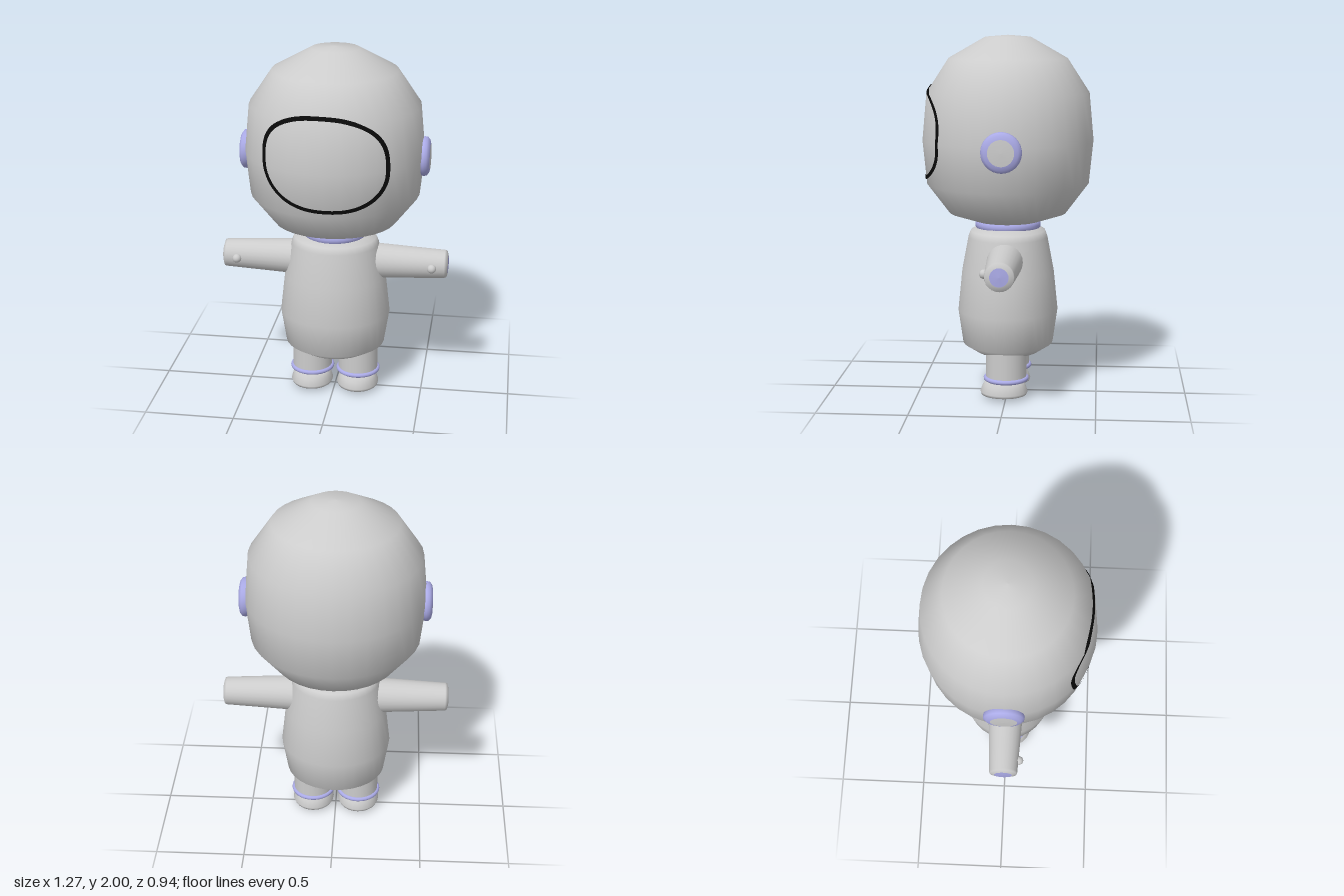
import * as THREE from 'three';

const mat = (name, color) => new THREE.MeshStandardMaterial({ name, color });

export function createModel() {
  const grey = mat('suit grey', 0xcccccc);
  const lavender = mat('lavender trim', 0xb0b0ee);
  const black = mat('visor outline black', 0x0a0a0a);
  black.side = THREE.DoubleSide;
  const model = new THREE.Group();

  const add = (parent, name, geometry, material) => {
    const mesh = new THREE.Mesh(geometry, material);
    mesh.name = name;
    parent.add(mesh);
    return mesh;
  };
  // Profiles are [radius, height], listed from the bottom up
  const lathe = (profile, segments = 32) =>
    new THREE.LatheGeometry(profile.map(([r, y]) => new THREE.Vector2(r, y)), segments);
  // Lathe turned so its axis runs along +x or -x
  const sideways = (profile, side, segments) => lathe(profile, segments).rotateZ(-side * Math.PI / 2);

  // Head
  const headDepth = 0.96;
  const headProfile = [[0, 0.975], [0.19, 0.982], [0.34, 1.03], [0.465, 1.19], [0.49, 1.43],
    [0.465, 1.69], [0.34, 1.875], [0.13, 1.99], [0, 2]];
  add(model, 'head', lathe(headProfile, 32), grey).scale.z = headDepth;

  // Visor outline: a thin ribbon laid on the head surface
  const headZ = (x, y) => {
    const i = headProfile.findIndex((p) => p[1] >= y);
    const [r0, y0] = headProfile[i - 1], [r1, y1] = headProfile[i];
    const r = r0 + (r1 - r0) * (y - y0) / (y1 - y0);
    return headDepth * Math.sqrt(Math.max(0, r * r - x * x)) + 0.005;
  };
  const steps = 96, positions = [], indices = [];
  const power = (v) => Math.sign(v) * Math.abs(v) ** 0.82;
  for (let i = 0; i <= steps; i++) {
    const a = i / steps * Math.PI * 2;
    for (const inset of [0.02, 0]) {
      const u = (0.335 - inset) * power(Math.cos(a));
      const v = (0.257 - inset) * power(Math.sin(a));
      const x = u - 0.05 * v, y = 1.473 + v - 0.02 * u;
      positions.push(x, y, headZ(x, y));
    }
    if (i < steps) {
      const k = i * 2;
      indices.push(k, k + 1, k + 2, k + 1, k + 3, k + 2);
    }
  }
  const ribbon = new THREE.BufferGeometry();
  ribbon.setAttribute('position', new THREE.Float32BufferAttribute(positions, 3));
  ribbon.setIndex(indices);
  ribbon.computeVertexNormals();
  add(model, 'visorOutline', ribbon, black);

  // Neck ring
  add(model, 'neckRing', lathe([[0.17, 0.935], [0.18, 0.945], [0.182, 0.96], [0.18, 0.975], [0.17, 0.985]]), lavender);

  // Body
  add(model, 'body', lathe([[0, 0.207], [0.12, 0.217], [0.2, 0.242], [0.28, 0.29], [0.31, 0.48],
    [0.285, 0.7], [0.245, 0.89], [0.23, 0.925], [0.17, 0.953], [0, 0.955]]), grey).scale.z = 0.9;

  for (const side of [1, -1]) {
    const label = side > 0 ? 'left' : 'right';

    // Ear disc with a pale centre
    const ear = new THREE.Group();
    ear.name = label + 'Ear';
    ear.position.y = 1.41;
    add(ear, 'earRing', sideways([[0.1, 0.465], [0.108, 0.485], [0.105, 0.502], [0.09, 0.514], [0.07, 0.519]], side), lavender);
    add(ear, 'earCentre', sideways([[0.07, 0.519], [0.04, 0.521], [0, 0.522]], side), grey);
    model.add(ear);

    // Arm with a wrist cap and a button
    const arm = new THREE.Group();
    arm.name = label + 'Arm';
    arm.position.y = 0.787;
    add(arm, 'sleeve', sideways([[0.104, 0.15], [0.098, 0.25], [0.079, 0.615], [0.076, 0.626], [0.05, 0.634]], side, 24), grey);
    add(arm, 'wristCap', sideways([[0.05, 0.634], [0, 0.637]], side, 24), lavender);
    add(arm, 'button', new THREE.SphereGeometry(0.025, 16, 10), grey).position.set(side * 0.547, 0, 0.085);
    model.add(arm);

    // Leg with an ankle ring and a boot
    const leg = new THREE.Group();
    leg.name = label + 'Leg';
    leg.position.x = side * 0.133;
    const shin = add(leg, 'shin', new THREE.CylinderGeometry(0.113, 0.113, 0.22, 24), grey);
    shin.position.y = 0.21;
    const ring = add(leg, 'ankleRing', new THREE.TorusGeometry(0.113, 0.013, 10, 32).rotateX(Math.PI / 2), lavender);
    ring.position.y = 0.112;
    const boot = add(leg, 'boot', lathe([[0, 0], [0.06, 0.006], [0.115, 0.02], [0.12, 0.035],
      [0.108, 0.072], [0.092, 0.098], [0, 0.105]], 24), grey);
    boot.scale.z = 1.1;
    boot.position.z = 0.012;
    model.add(leg);
  }
  return model;
}
